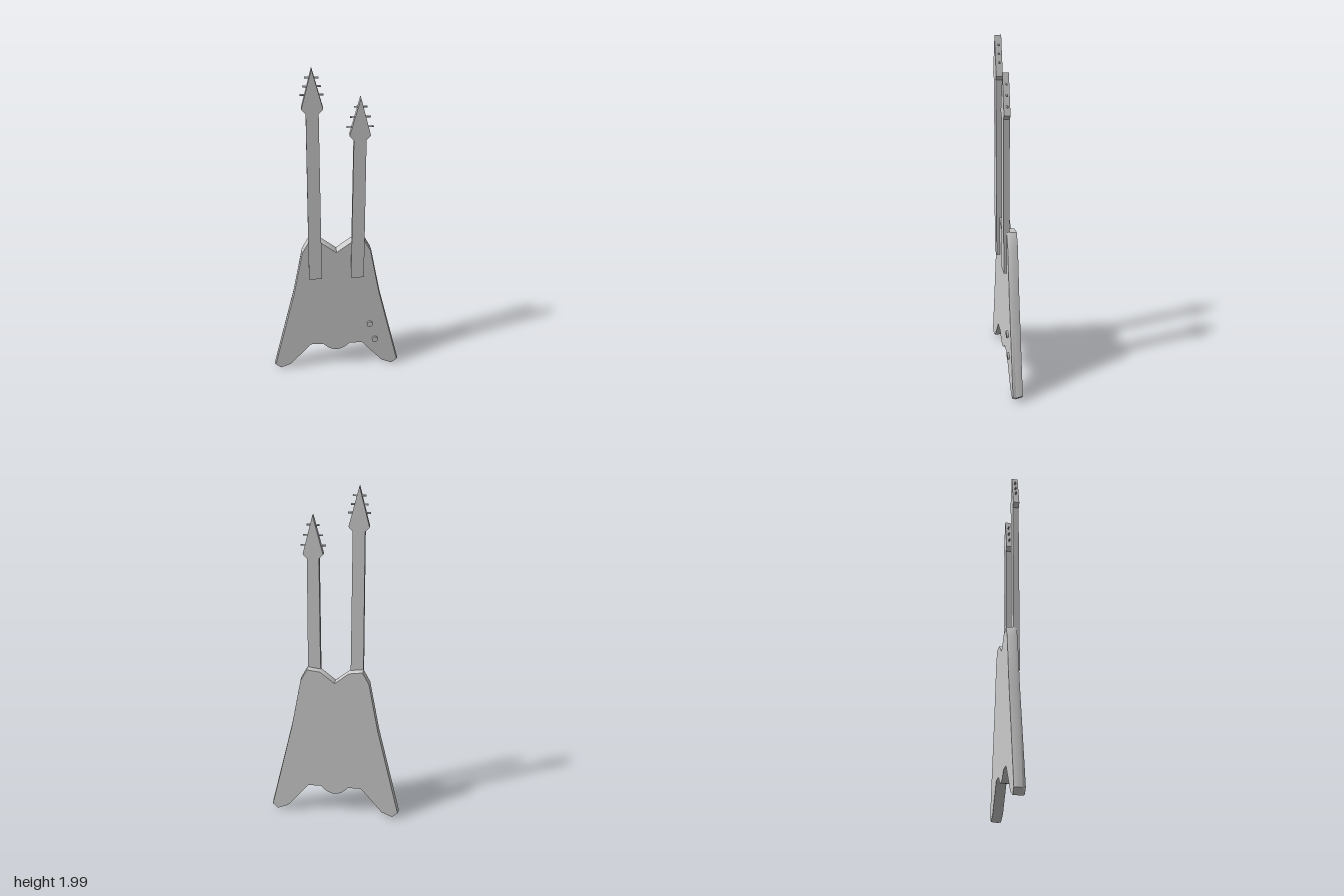
import * as THREE from 'three';
import { toCreasedNormals } from 'three/addons/utils/BufferGeometryUtils.js';

const material = new THREE.MeshStandardMaterial({ color: 0xcccccc });

function addMesh(parent, name, geometry) {
  const mesh = new THREE.Mesh(geometry, material);
  mesh.name = name;
  parent.add(mesh);
  return mesh;
}

// Extrudes a symmetric outline given by its +x half, listed top to bottom
function mirroredExtrude(half, depth, steps = 1) {
  const mirrored = half.filter(([x]) => x > 0).reverse().map(([x, y]) => [-x, y]);
  const points = [...half, ...mirrored].map(([x, y]) => new THREE.Vector2(x, y));
  return new THREE.ExtrudeGeometry(new THREE.Shape(points), { depth, steps, bevelEnabled: false });
}

// Winged body, widest a little behind its front face
function bodyGeometry() {
  const half = [
    [0, 0.895], [0.085, 0.962], [0.163, 0.972], [0.202, 0.9], [0.26, 0.6],
    [0.397, 0.037], [0.365, 0.006], [0.298, 0.035], [0.165, 0.194], [0.085, 0.194],
    [0.065, 0.173], [0.045, 0.157], [0.022, 0.147], [0, 0.143],
  ];
  const geometry = mirroredExtrude(half, 2, 2);
  const layers = [[-0.04, 0.982], [0, 1], [0.017, 0.98]];
  const p = geometry.attributes.position;
  for (let i = 0; i < p.count; i++) {
    const [z, scale] = layers[Math.round(p.getZ(i))];
    p.setXYZ(i, p.getX(i) * scale, 0.5 + (p.getY(i) - 0.5) * (1 + (scale - 1) * 0.4), z);
  }
  return toCreasedNormals(geometry, 0.95);
}

// Tapered neck, arrow-shaped headstock and tuning pegs
function createNeck(name, x, tip, thickness, pegs) {
  const neck = new THREE.Group();
  neck.name = name;
  neck.position.x = x;
  const base = tip - 0.235;
  addMesh(neck, 'fretboard', mirroredExtrude([[0.033, base], [0.038, 0.72]], thickness - 0.001));
  addMesh(neck, 'headstock', mirroredExtrude(
    [[0, tip], [0.056, tip - 0.212], [0.034, base]], thickness));
  for (const [drop, halfLength] of pegs) {
    const peg = addMesh(neck, 'tuningPegs', new THREE.CylinderGeometry(0.005, 0.005, halfLength * 2, 8));
    peg.rotation.z = Math.PI / 2;
    peg.position.set(0, tip - drop, 0.017);
  }
  return neck;
}

export function createModel() {
  const model = new THREE.Group();
  model.name = 'doubleNeckGuitar';

  addMesh(model, 'body', bodyGeometry());
  model.add(createNeck('longNeck', -0.125, 2, 0.036, [[0.05, 0.036], [0.095, 0.046], [0.14, 0.06]]));
  model.add(createNeck('shortNeck', 0.123, 1.845, 0.034, [[0.055, 0.034], [0.11, 0.053], [0.165, 0.07]]));

  // Control knobs
  for (const [x, y] of [[0.207, 0.348], [0.242, 0.222]]) {
    const knob = addMesh(model, 'controlKnob', new THREE.CylinderGeometry(0.018, 0.018, 0.014, 16));
    knob.rotation.x = Math.PI / 2;
    knob.scale.z = 1.2;
    knob.position.set(x, y, 0.02);
  }
  return model;
}
